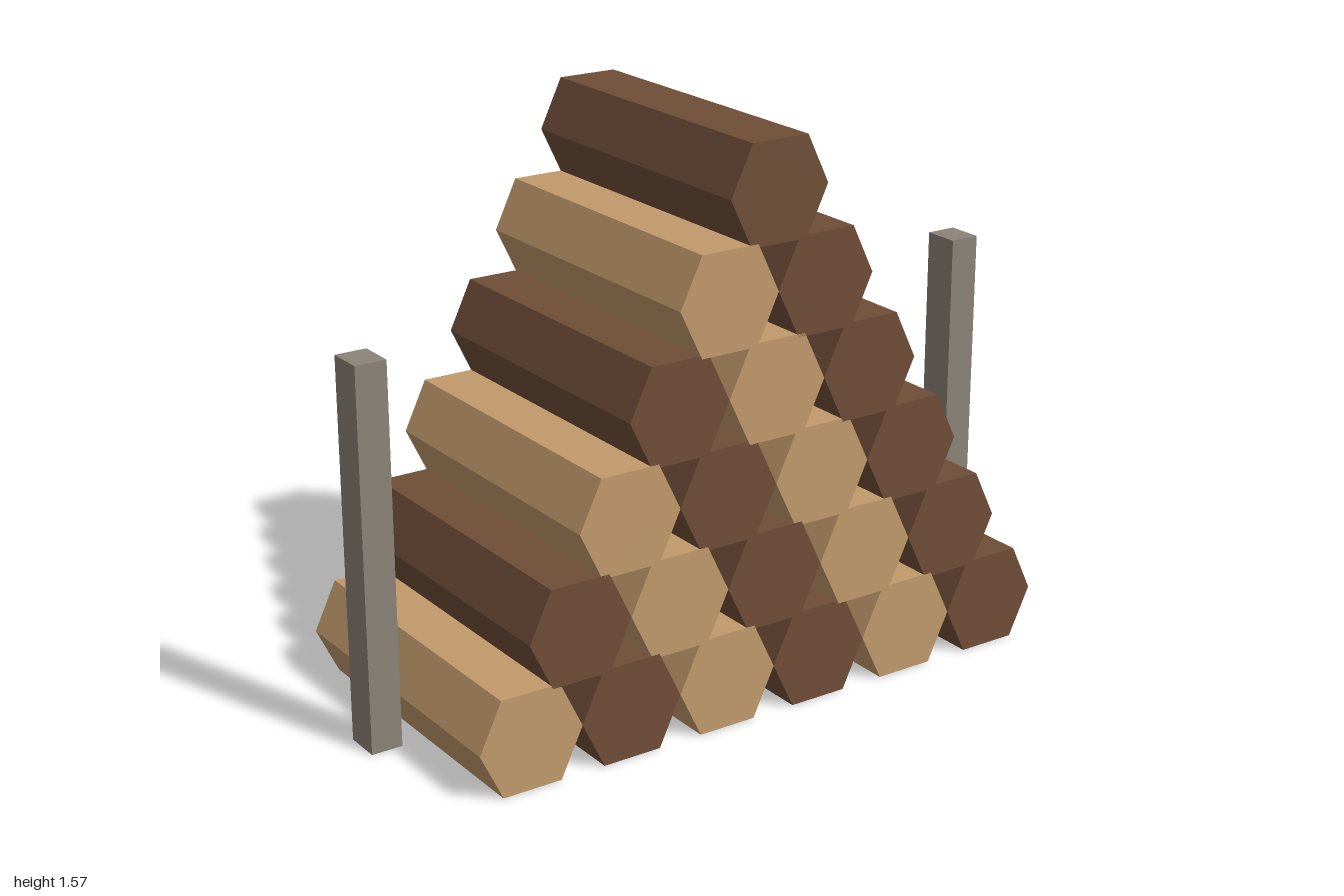
import * as THREE from 'three';

export function createModel() {
  const model = new THREE.Group();
  model.name = 'logStack';

  const mat = (name, color) => {
    const m = new THREE.MeshStandardMaterial({ color });
    m.name = name;
    return m;
  };
  const darkWood = mat('darkWood', 0x6f4e37);
  const lightWood = mat('lightWood', 0xc19a6b);
  const stone = mat('greyPost', 0x8b8378);

  const rows = 6;
  const pitch = 0.301;                       // distance between neighbouring logs
  const rise = pitch * Math.sqrt(3) / 2;     // distance between rows
  const halfW = pitch / 2, halfFlat = 0.0855, halfH = 0.135;
  const length = 0.886;

  // Slightly flattened hexagonal log, lying along z
  const hexagon = new THREE.Shape([
    [halfW, 0], [halfFlat, halfH], [-halfFlat, halfH],
    [-halfW, 0], [-halfFlat, -halfH], [halfFlat, -halfH],
  ].map(([x, y]) => new THREE.Vector2(x, y)));
  const logGeometry = new THREE.ExtrudeGeometry(hexagon, { depth: length, bevelEnabled: false });
  logGeometry.translate(0, 0, -length / 2);

  // Triangular pile with alternating wood colours
  for (let row = 0; row < rows; row++) {
    const count = rows - row;
    for (let i = 0; i < count; i++) {
      const log = new THREE.Mesh(logGeometry, (row + i) % 2 ? darkWood : lightWood);
      log.name = `log_row${row + 1}_${i + 1}`;
      log.position.set((i - (count - 1) / 2) * pitch, halfH + row * rise, 0);
      model.add(log);
    }
  }

  // Upright posts on both sides
  const postW = 0.089, postH = 1.064, postD = 0.105;
  const postGeometry = new THREE.BoxGeometry(postW, postH, postD);
  for (const side of [-1, 1]) {
    const post = new THREE.Mesh(postGeometry, stone);
    post.name = side > 0 ? 'leftPost' : 'rightPost';
    post.position.set(side * (1 - postW / 2), postH / 2, 0);
    model.add(post);
  }

  return model;
}
